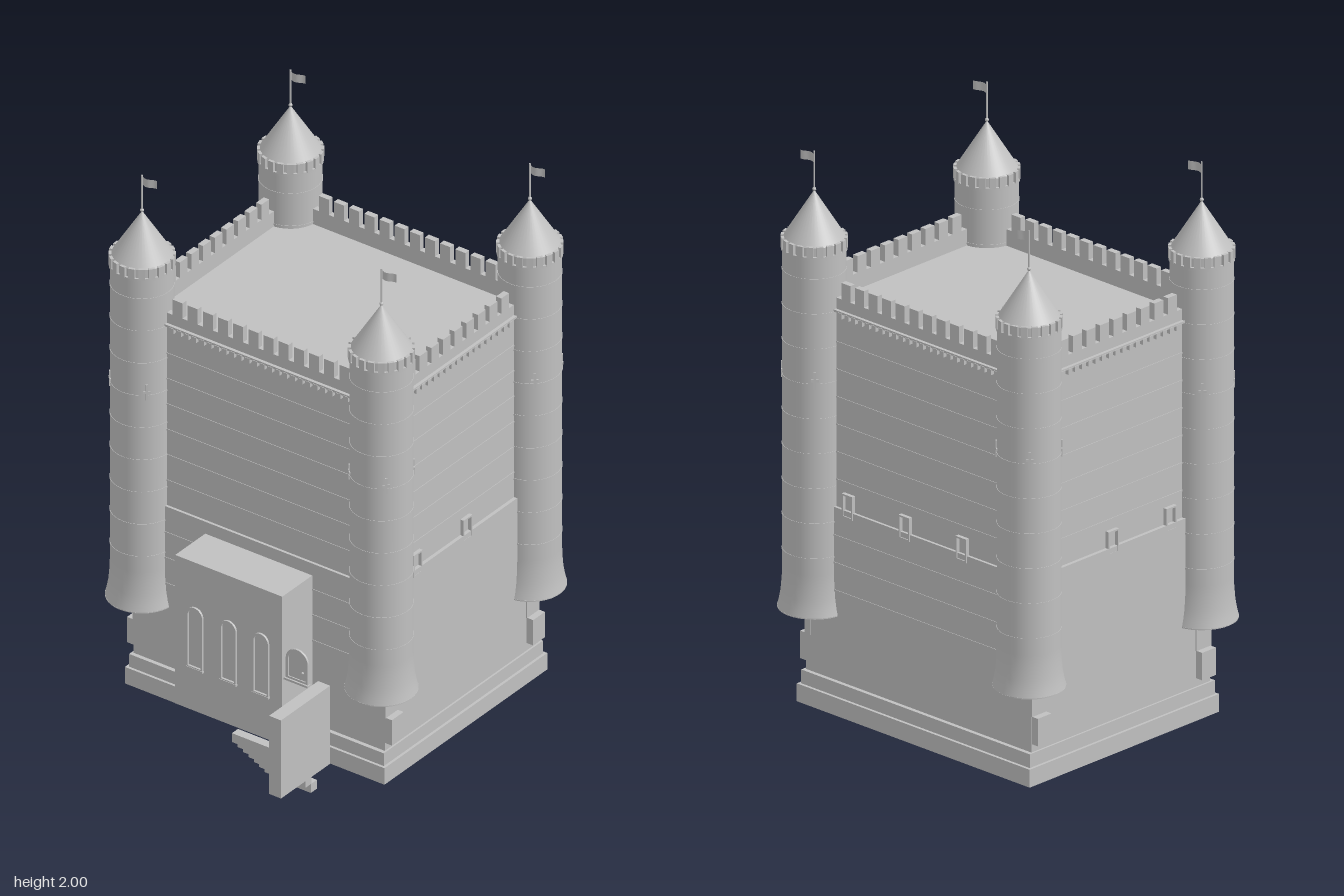
import * as THREE from 'three';

const stone = new THREE.MeshStandardMaterial({ color: 0xc0c0c0 });
stone.name = 'light grey stone';
stone.side = THREE.DoubleSide;

const CZ = -0.167; // centre of the keep along z

function add(parent, name, geometry, x = 0, y = 0, z = 0) {
  const mesh = new THREE.Mesh(geometry, stone);
  mesh.name = name;
  mesh.position.set(x, y, z);
  parent.add(mesh);
  return mesh;
}

// Box given by its lower and upper limits on each axis
function block(parent, name, x0, x1, y0, y1, z0, z1) {
  return add(parent, name, new THREE.BoxGeometry(x1 - x0, y1 - y0, z1 - z0),
    (x0 + x1) / 2, (y0 + y1) / 2, (z0 + z1) / 2);
}

function archPath(path, w, h) {
  path.moveTo(-w, 0);
  path.lineTo(w, 0);
  path.lineTo(w, h - w);
  path.absarc(0, h - w, w, 0, Math.PI, false);
  path.lineTo(-w, 0);
  return path;
}

// Round-headed frame standing on its sill
function archFrame(parent, name, x, y, z, w, h, t) {
  const shape = archPath(new THREE.Shape(), w, h);
  const hole = archPath(new THREE.Path(), w - t, h - 2 * t);
  hole.curves.forEach((c) => {
    if (c.isLineCurve) { c.v1.y += t; c.v2.y += t; } else c.aY += t;
  });
  shape.holes.push(hole);
  add(parent, name, new THREE.ExtrudeGeometry(shape,
    { depth: 0.008, bevelEnabled: false, curveSegments: 10 }), x, y, z);
}

function makeTower(x, z) {
  const tower = new THREE.Group();
  tower.name = 'cornerTower';
  tower.position.set(x, 0, z);
  const profile = [[0.125, 0.35], [0.119, 0.375], [0.113, 0.41], [0.109, 0.46], [0.108, 0.5], [0.108, 1.65]]
    .map(([r, y]) => new THREE.Vector2(r, y));
  add(tower, 'towerShaft', new THREE.LatheGeometry(profile, 40));
  add(tower, 'towerFoot', new THREE.CylinderGeometry(0.125, 0.125, 0.004, 40), 0, 0.35, 0);
  // Stone courses
  for (let i = 0; i < 9; i++) {
    add(tower, 'towerCourse', new THREE.CylinderGeometry(0.1095, 0.1095, 0.006, 40, 1), 0, 0.56 + i * 0.127, 0);
  }
  // Crown with small merlons
  add(tower, 'towerCrown', new THREE.CylinderGeometry(0.104, 0.104, 0.045, 40), 0, 1.667, 0);
  add(tower, 'crownRing', new THREE.CylinderGeometry(0.112, 0.112, 0.012, 40), 0, 1.652, 0);
  for (let i = 0; i < 20; i++) {
    const a = (i / 20) * Math.PI * 2;
    const m = add(tower, 'crownMerlon', new THREE.BoxGeometry(0.022, 0.04, 0.014),
      Math.sin(a) * 0.106, 1.675, Math.cos(a) * 0.106);
    m.rotation.y = a;
  }
  // Arrow slits on the diagonals
  for (let i = 0; i < 4; i++) {
    const a = Math.PI / 4 + (i * Math.PI) / 2;
    for (const [w, h] of [[0.008, 0.06], [0.026, 0.008]]) {
      const s = add(tower, 'arrowSlit', new THREE.BoxGeometry(w, h, 0.008),
        Math.sin(a) * 0.108, 1.21, Math.cos(a) * 0.108);
      s.rotation.y = a;
    }
  }
  // Roof, pole and flag
  add(tower, 'coneRoof', new THREE.ConeGeometry(0.106, 0.17, 40), 0, 1.775, 0);
  add(tower, 'flagPole', new THREE.CylinderGeometry(0.003, 0.003, 0.16, 8), 0, 1.92, 0);
  add(tower, 'poleKnob', new THREE.SphereGeometry(0.007, 10, 8), 0, 1.862, 0);
  const flag = new THREE.PlaneGeometry(0.055, 0.032, 8, 1);
  const p = flag.attributes.position;
  for (let i = 0; i < p.count; i++) p.setZ(i, 0.006 * Math.sin((p.getX(i) + 0.0275) * 90) - 0.004);
  flag.computeVertexNormals();
  add(tower, 'flag', flag, 0.028, 1.976, 0);
  return tower;
}

// One side of the keep, built facing +z around its own middle
function makeWall(name, halfWidth, depth, merlons, windows) {
  const wall = new THREE.Group();
  wall.name = name;
  const span = halfWidth - 0.12;
  // Parapet and merlons
  block(wall, 'parapet', -halfWidth, halfWidth, 1.43, 1.5, depth - 0.022, depth);
  const pitch = (2 * span) / merlons;
  for (let i = 0; i < merlons; i++) {
    const x = -span + (i + 0.5) * pitch;
    block(wall, 'merlon', x - pitch * 0.33, x + pitch * 0.33, 1.5, 1.56, depth - 0.022, depth);
  }
  // Row of corbels under the parapet
  const corbels = merlons * 2;
  for (let i = 0; i < corbels; i++) {
    const x = -span + (i + 0.5) * (pitch / 2);
    block(wall, 'corbel', x - pitch * 0.15, x + pitch * 0.15, 1.435, 1.455, depth, depth + 0.014);
  }
  block(wall, 'parapetLedge', -halfWidth, halfWidth, 1.452, 1.46, depth, depth + 0.012);
  // Stone courses
  for (let i = 0; i < 6; i++) {
    const y = 0.84 + i * 0.1;
    block(wall, 'wallCourse', -halfWidth, halfWidth, y - 0.003, y + 0.003, depth, depth + 0.002);
  }
  for (const y of [0.44, 0.54, 0.64]) {
    block(wall, 'lowerCourse', -halfWidth, halfWidth, y - 0.003, y + 0.003, depth, depth + 0.012);
  }
  // Framed windows
  for (const x of windows) {
    for (const s of [-1, 1]) {
      block(wall, 'windowJamb', x + s * 0.022 - 0.003, x + s * 0.022 + 0.003, 0.72, 0.8, depth, depth + 0.014);
    }
    for (const y of [0.72, 0.8]) {
      block(wall, 'windowLedge', x - 0.025, x + 0.025, y - 0.003, y + 0.003, depth, depth + 0.014);
    }
  }
  return wall;
}

export function createModel() {
  const castle = new THREE.Group();
  castle.name = 'castle';

  // Stepped base and keep
  block(castle, 'plinth', -0.542, 0.542, 0, 0.065, -0.626, 0.29);
  block(castle, 'plinthStep', -0.532, 0.532, 0.065, 0.115, -0.615, 0.28);
  block(castle, 'lowerKeep', -0.525, 0.525, 0.115, 0.742, -0.6, 0.265);
  block(castle, 'upperKeep', -0.512, 0.512, 0.742, 1.44, -0.59, 0.255);

  const sides = [
    ['frontWall', 0.5, 0.422, 12, [], 0],
    ['backWall', 0.5, 0.423, 12, [-0.33, -0.065, 0.2], Math.PI],
    ['leftWall', 0.415, 0.512, 9, [-0.245, 0.035], Math.PI / 2],
    ['rightWall', 0.415, 0.512, 9, [0.245, -0.035], -Math.PI / 2],
  ];
  for (const [name, half, depth, count, windows, turn] of sides) {
    const wall = makeWall(name, half, depth, count, windows);
    wall.position.z = CZ;
    wall.rotation.y = turn;
    castle.add(wall);
  }

  // Towers and corner stones
  for (const s of [-1, 1]) {
    for (const z of [0.25, -0.585]) {
      castle.add(makeTower(s * 0.5, z));
      const inner = z > 0 ? 0.23 : -0.565;
      const x = s * 0.535;
      block(castle, 'cornerStone', x - 0.018, x + 0.018, 0.145, 0.245, inner - 0.033, inner + 0.033);
      block(castle, 'cornerStone', s * 0.515 - 0.014, s * 0.515 + 0.014, 0.245, 0.35, inner - 0.036, inner + 0.036);
    }
  }

  // Front gatehouse with three tall arches
  block(castle, 'gatehouse', -0.225, 0.222, 0.11, 0.695, 0.25, 0.434);
  for (const x of [-0.14, 0, 0.135]) {
    archFrame(castle, 'archWindow', x, 0.28, 0.434, 0.033, 0.24, 0.006);
    block(castle, 'archSill', x - 0.035, x + 0.035, 0.274, 0.282, 0.434, 0.444);
  }

  // Arched door beside the gatehouse
  archFrame(castle, 'doorFrame', 0.29, 0.39, 0.436, 0.046, 0.125, 0.01);
  add(castle, 'door', new THREE.ExtrudeGeometry(archPath(new THREE.Shape(), 0.038, 0.113),
    { depth: 0.004, bevelEnabled: false }), 0.29, 0.394, 0.436);
  block(castle, 'doorSill', 0.24, 0.34, 0.384, 0.392, 0.434, 0.45);
  add(castle, 'doorKnob', new THREE.SphereGeometry(0.005, 8, 6), 0.313, 0.43, 0.442);

  // Stairs and their side wall
  for (let i = 0; i < 8; i++) {
    const z = 0.445 + i * 0.0307;
    block(castle, 'stairStep', 0.205, 0.375, i * 0.035, i * 0.035 + 0.035, z, z + 0.034);
  }
  block(castle, 'stairWall', 0.372, 0.422, 0.11, 0.418, 0.434, 0.71);

  return castle;
}
